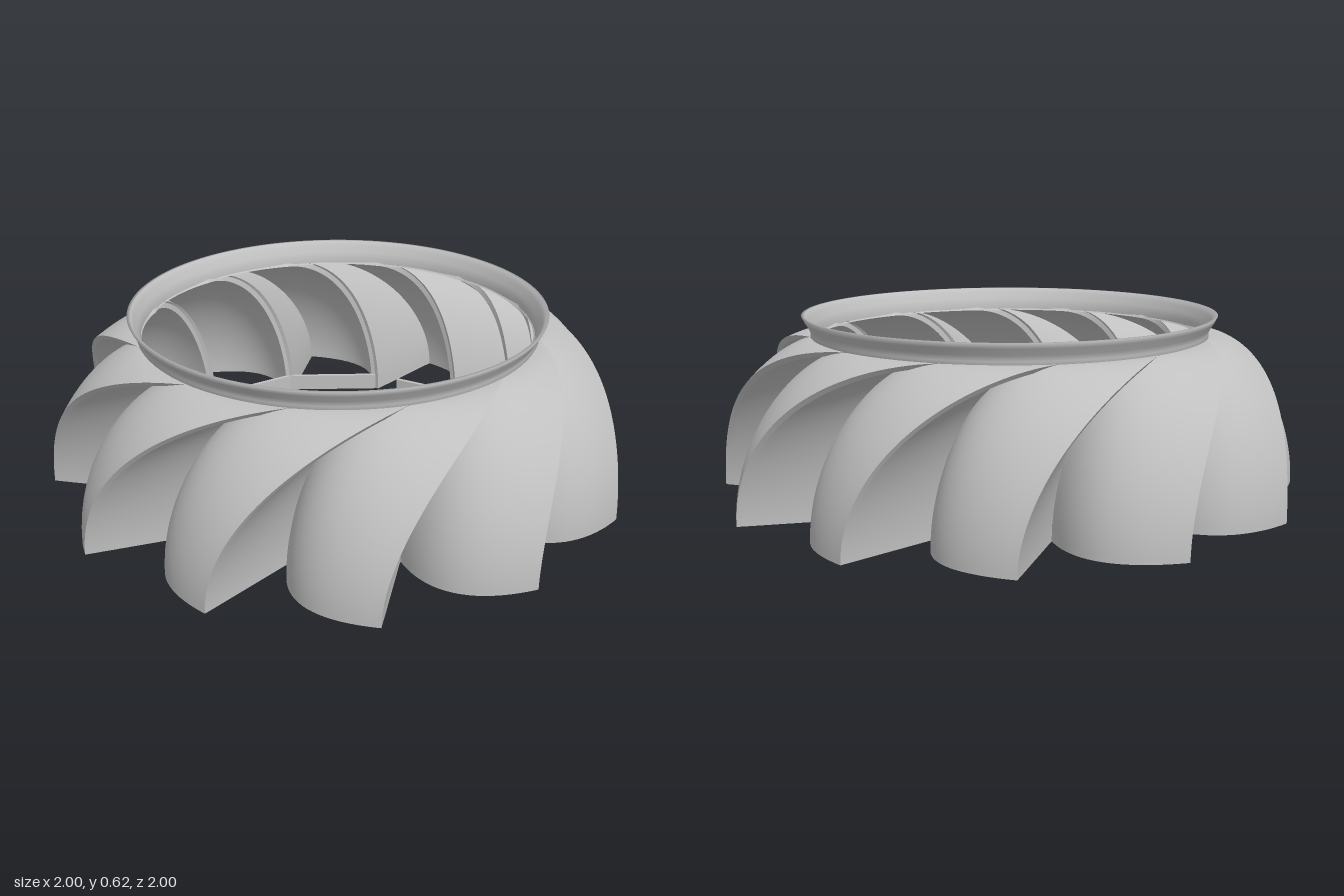
import * as THREE from 'three';

const BLADES = 12;
const STEP = (Math.PI * 2) / BLADES;
const DEG = Math.PI / 180;
const WALL = 0.015;
const INNER_R = 0.68;

// Position on a scoop's section: u 0..1 = curved shell from root to tip, 1..2 = flat wall back to the next root.
// v runs from the base (0) to the rim (1).
function sectionPoint(u, v) {
  const phi = (v * Math.PI) / 2;
  const tipR = 0.69 + 0.323 * Math.cos(phi);
  const twist = Math.pow(v, 1.9);
  const root = 30.5 * DEG * twist;
  const tip = 20.3 * DEG + 40.7 * DEG * twist;
  let angle, f;
  if (u <= 1) {
    // quadratic curve at the base, carried upward in polar form
    const s = 1 - u;
    const x = 2 * s * u * 0.02 + u * u * 0.351;
    const z = s * s * INNER_R + 2 * s * u * 0.97 + u * u * 0.95;
    angle = root + (Math.atan2(x, z) / (20.3 * DEG)) * (tip - root);
    f = (Math.hypot(x, z) - INNER_R) / (1.013 - INNER_R);
  } else {
    const x0 = tipR * Math.sin(tip), z0 = tipR * Math.cos(tip);
    const x1 = INNER_R * Math.sin(root + STEP), z1 = INNER_R * Math.cos(root + STEP);
    const t = u - 1;
    return [x0 + (x1 - x0) * t, z0 + (z1 - z0) * t];
  }
  const r = INNER_R + f * (tipR - INNER_R);
  return [r * Math.sin(angle), r * Math.cos(angle)];
}

// Bends a thin box into one sheet of the scoop between u0 and u1
function sheet(u0, u1, segU, segV) {
  const geo = new THREE.BoxGeometry(1, 1, 1, segU, segV, 1);
  const p = geo.attributes.position;
  const e = 0.002;
  for (let i = 0; i < p.count; i++) {
    const u = u0 + (p.getX(i) + 0.5) * (u1 - u0);
    const v = p.getY(i) + 0.5;
    const depth = (0.5 - p.getZ(i)) * WALL;
    const [x, z] = sectionPoint(u, v);
    const a = sectionPoint(Math.max(u0 + 1e-6, u - e), v);
    const b = sectionPoint(Math.min(u1, u + e), v);
    const tx = b[0] - a[0], tz = b[1] - a[1];
    const len = Math.hypot(tx, tz) || 1;
    const phi = (v * Math.PI) / 2;
    const drop = u1 <= 1 ? depth * Math.sin(phi) : 0;
    p.setXYZ(i, x + (tz / len) * depth, 0.55 * Math.sin(phi) - drop, z - (tx / len) * depth);
  }
  geo.computeVertexNormals();
  return geo;
}

export function createModel() {
  const model = new THREE.Group();
  model.name = 'impeller';
  const grey = new THREE.MeshStandardMaterial({ color: 0xc0c0c0 });
  grey.name = 'light grey';

  const add = (parent, name, geo) => {
    const mesh = new THREE.Mesh(geo, grey);
    mesh.name = name;
    parent.add(mesh);
    return mesh;
  };

  // Twelve twisted scoops
  const shellGeo = sheet(0, 1, 20, 36);
  const wallGeo = sheet(1, 2, 6, 36);
  for (let i = 0; i < BLADES; i++) {
    const scoop = new THREE.Group();
    scoop.name = 'scoop';
    scoop.rotation.y = i * STEP;
    add(scoop, 'scoopShell', shellGeo);
    add(scoop, 'scoopWall', wallGeo);
    model.add(scoop);
  }

  // Flared rim at the top
  const rim = [
    [0.676, 0.54], [0.692, 0.54], [0.686, 0.56], [0.695, 0.58], [0.709, 0.602], [0.718, 0.62],
    [0.706, 0.62], [0.697, 0.602], [0.684, 0.58], [0.677, 0.56], [0.676, 0.54],
  ].map(([r, y]) => new THREE.Vector2(r, y));
  add(model, 'rim', new THREE.LatheGeometry(rim, 96));

  // Twelve-sided base band, one side cut short
  const side = 2 * INNER_R * Math.sin(STEP / 2);
  for (let i = 0; i < BLADES; i++) {
    const cut = i === 5 ? 0.1 : 0;
    const pivot = new THREE.Group();
    pivot.name = 'baseBandSide';
    pivot.rotation.y = (i + 0.5) * STEP;
    const bar = add(pivot, 'baseBand', new THREE.BoxGeometry(side - cut, 0.06, WALL));
    bar.position.set(-cut / 2, 0.03, INNER_R * Math.cos(STEP / 2));
    model.add(pivot);
  }

  // Hub plate with shaft hole and four bolt holes
  const plate = new THREE.Shape();
  plate.absarc(0, 0, 0.2, 0, Math.PI * 2);
  const hole = (x, y, r) => {
    const h = new THREE.Path();
    h.absarc(x, y, r, 0, Math.PI * 2, true);
    plate.holes.push(h);
  };
  hole(0, 0, 0.052);
  for (let i = 0; i < 4; i++) {
    const a = 40 * DEG + (i * Math.PI) / 2;
    hole(0.134 * Math.cos(a), 0.134 * Math.sin(a), 0.025);
  }
  const hubGeo = new THREE.ExtrudeGeometry(plate, { depth: 0.05, bevelEnabled: false, curveSegments: 40 });
  hubGeo.rotateX(-Math.PI / 2);
  add(model, 'hub', hubGeo);

  // Three spokes
  for (let i = 0; i < 3; i++) {
    const pivot = new THREE.Group();
    pivot.name = 'spokePivot';
    pivot.rotation.y = (i * Math.PI * 2) / 3;
    const spoke = add(pivot, 'spoke', new THREE.BoxGeometry(0.136, 0.05, 0.475));
    spoke.position.set(0, 0.025, 0.425);
    model.add(pivot);
  }
  return model;
}
